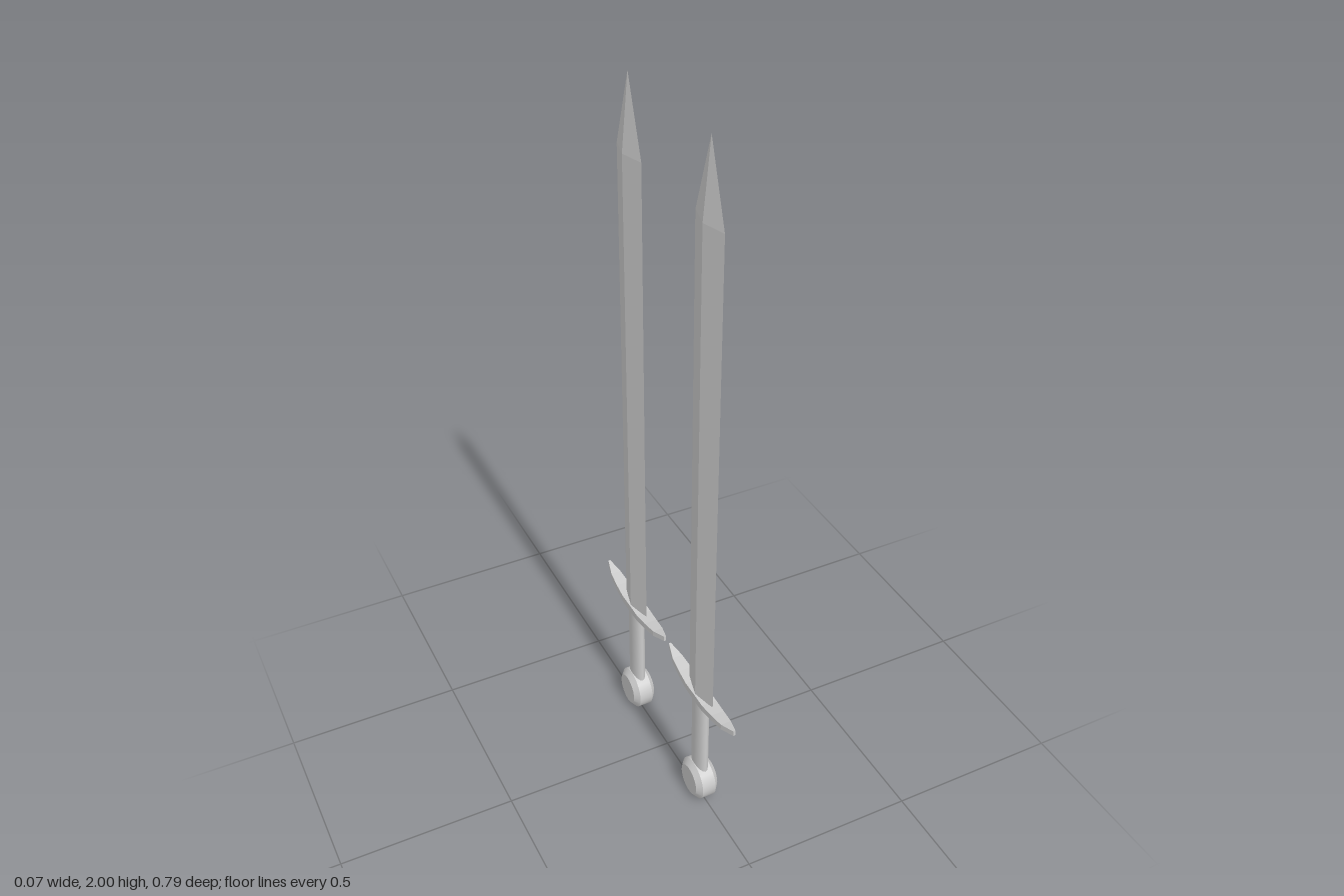
import * as THREE from 'three';
import { toCreasedNormals } from 'three/addons/utils/BufferGeometryUtils.js';

const flat = new THREE.MeshStandardMaterial({ color: 0xcccccc, flatShading: true });
const smooth = new THREE.MeshStandardMaterial({ color: 0xcccccc });

function part(name, geometry, material) {
  const mesh = new THREE.Mesh(geometry, material);
  mesh.name = name;
  return mesh;
}

// piecewise linear lookup in [position, value] pairs
function lookup(table, t) {
  for (let i = 1; i < table.length; i++) {
    const [t0, v0] = table[i - 1], [t1, v1] = table[i];
    if (t <= t1) return v0 + (v1 - v0) * (t - t0) / (t1 - t0);
  }
  return table[table.length - 1][1];
}

// diamond-section blade with a straight body and a pointed tip
function makeBlade() {
  const blade = new THREE.Group();
  blade.name = 'blade';
  const body = new THREE.CylinderGeometry(1, 1, 1.42, 4).scale(0.018, 1, 0.068).translate(0, 1.09, 0);
  const tip = new THREE.ConeGeometry(1, 0.2, 4, 1, true).scale(0.018, 1, 0.068).translate(0, 1.9, 0);
  blade.add(part('bladeBody', body, flat), part('bladeTip', tip, flat));
  return blade;
}

// crossguard: a bar swept upward and narrowed toward both ends
function makeGuard() {
  const half = 0.189;
  const geometry = new THREE.BoxGeometry(2, 1, 2 * half, 1, 1, 8);
  const width = [[0, 0.022], [0.047, 0.022], [0.095, 0.019], [0.142, 0.015], [half, 0.003]];
  const rise = [[0, 0.383], [0.047, 0.384], [0.095, 0.389], [0.142, 0.397], [half, 0.41]];
  const depth = [[0, 0.024], [0.047, 0.02], [half, 0.016]];
  const p = geometry.attributes.position;
  for (let i = 0; i < p.count; i++) {
    const d = Math.abs(p.getZ(i));
    p.setX(i, p.getX(i) * lookup(width, d));
    p.setY(i, lookup(rise, d) + p.getY(i) * lookup(depth, d));
  }
  geometry.computeVertexNormals();
  return part('guard', geometry, flat);
}

// oval grip
function makeGrip() {
  const geometry = new THREE.CylinderGeometry(1, 1, 0.28, 16).scale(0.019, 1, 0.036).translate(0, 0.245, 0);
  return part('grip', geometry, smooth);
}

// bevelled disc pommel, turned about the x axis
function makePommel() {
  const profile = [[0, -0.034], [0.045, -0.034], [0.062, -0.02], [0.062, 0.02], [0.045, 0.034], [0, 0.034]]
    .map(([r, h]) => new THREE.Vector2(r, h));
  const geometry = new THREE.LatheGeometry(profile, 24).rotateZ(Math.PI / 2).translate(0, 0.0625, 0);
  return part('pommel', toCreasedNormals(geometry, 0.5), smooth);
}

function makeSword(name, z) {
  const sword = new THREE.Group();
  sword.name = name;
  sword.add(makeBlade(), makeGuard(), makeGrip(), makePommel());
  sword.position.z = z;
  return sword;
}

export function createModel() {
  const model = new THREE.Group();
  model.name = 'swordPair';
  model.add(makeSword('frontSword', 0.204), makeSword('backSword', -0.204));
  return model;
}
